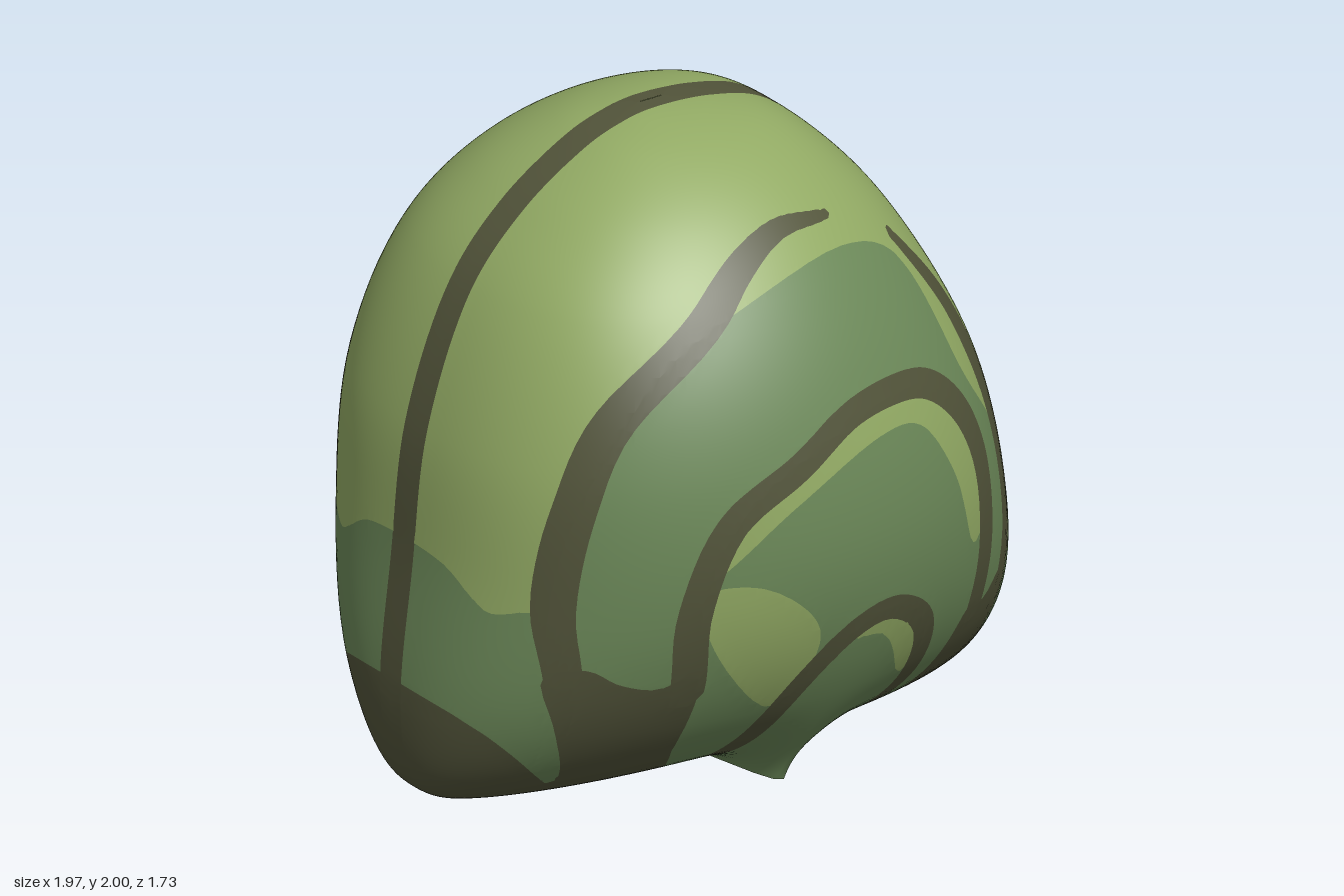
import * as THREE from 'three';
import { mergeVertices } from 'three/addons/utils/BufferGeometryUtils.js';

const COLS = 90, ROWS = 90;
const LIGHT = 0, MID = 1, BROWN = 2;

// Smooth curve through x, y pairs
function trace(flat, closed) {
  const pts = [];
  for (let i = 0; i < flat.length; i += 2) pts.push(new THREE.Vector3(flat[i], flat[i + 1], 0));
  return new THREE.CatmullRomCurve3(pts, closed).getPoints(pts.length * 5);
}

// Distance from p to the segment a-b, seen from the front
function toSegment(p, a, b) {
  const dx = b.x - a.x, dy = b.y - a.y;
  const t = ((p.x - a.x) * dx + (p.y - a.y) * dy) / (dx * dx + dy * dy || 1);
  const k = THREE.MathUtils.clamp(t, 0, 1);
  return Math.hypot(p.x - a.x - dx * k, p.y - a.y - dy * k);
}

// Filled patch: signed distance, positive inside
function patch(...flat) {
  const c = trace(flat, true);
  return p => {
    let best = Infinity, inside = false;
    for (let i = 1; i < c.length; i++) {
      const a = c[i - 1], b = c[i];
      best = Math.min(best, toSegment(p, a, b));
      if ((a.y > p.y) !== (b.y > p.y) && p.x < a.x + (p.y - a.y) / (b.y - a.y) * (b.x - a.x)) inside = !inside;
    }
    return inside ? best : -best;
  };
}

// Band along a curve, its half width growing from the tip
function band(tipWidth, width, ...flat) {
  const c = trace(flat, false);
  return p => {
    let best = -Infinity;
    for (let i = 1; i < c.length; i++) {
      const w = THREE.MathUtils.lerp(tipWidth, width, Math.min(1, 2.5 * i / c.length));
      best = Math.max(best, w - toSegment(p, c[i - 1], c[i]));
    }
    return best;
  };
}

// Silhouette: left edge, height, right edge
const outline = new THREE.CatmullRomCurve3([
  [-0.72, 0.02, 0.72], [-0.87, 0.055, 0.865], [-0.945, 0.13, 0.94], [-0.985, 0.37, 0.98], [-0.945, 0.8, 0.91],
  [-0.895, 1.2, 0.8], [-0.74, 1.6, 0.59], [-0.56, 1.8, 0.43], [-0.34, 1.94, 0.25], [-0.21, 1.985, 0.09],
  [-0.13, 2, -0.04],
].map(p => new THREE.Vector3(...p)));

// Point on the front half; u runs left to right (0..1), v runs bottom to top (0..1)
function surface(u, v) {
  const e = outline.getPoint(v), a = u * Math.PI;
  const x = (e.x + e.z) / 2 - (e.z - e.x) / 2 * Math.cos(a);
  const k = (e.y - 0.95) / (e.y > 0.95 ? 1.05 : 0.93);
  const round = Math.max(0, Math.sin(a)) ** 0.78;
  const body = 0.865 * round * Math.sqrt(Math.max(0, 1 - k * k));
  // narrow stem under the middle, spreading into the body
  const stem = Math.exp(-(((x - 0.07) / (0.1 + 0.6 * (e.y - 0.02))) ** 2)) * Math.exp((0.02 - e.y) / 0.3);
  const drop = 0.02 * stem * Math.exp((0.02 - e.y) / 0.05);
  return new THREE.Vector3(x, e.y - drop, Math.hypot(body, 0.43 * stem * round));
}

// Painted regions, later ones cover earlier ones
const dome = patch(-0.8, 0.5, -0.75, 1.08, -0.5, 1.48, -0.2, 1.635, 0.17, 1.69, 0.38, 1.6,
  0.54, 1.23, 0.74, 0.9, 0.77, 0.4, 0.4, -0.1, -0.6, -0.1);
const leftFlank = patch(-1.1, 1.12, -0.94, 0.87, -0.9, 0.75, -0.83, 0.78, -0.75, 0.2, -1.1, 0.1);
const rightFlank = patch(0.69, 1.47, 0.778, 1.24, 0.82, 0.88, 0.79, 0.72, 0.73, 0.2, 1.1, 0.1, 1.1, 1.2);
const middleHighlight = patch(-0.44, 0.88, -0.2, 1.06, 0.11, 1.2, 0.28, 1.19, 0.42, 1, 0.53, 0.72,
  0.59, 0.8, 0.5, 1.13, 0.3, 1.29, 0.05, 1.27, -0.3, 1.11);
const sideLeaf = patch(-0.45, 0.84, -0.28, 0.84, -0.07, 0.64, -0.14, 0.38, -0.39, 0.63);
const innerHighlight = patch(-0.1, 0.4, 0.03, 0.56, 0.17, 0.56, 0.33, 0.34, 0.37, 0.42, 0.28, 0.62, 0.07, 0.62);
const outerLeftBand = band(0.01, 0.042, 0.17, 1.765, -0.02, 1.777, -0.18, 1.72, -0.33, 1.61, -0.63, 1.36,
  -0.75, 1.09, -0.795, 0.78, -0.77, 0.58);
const outerRightBand = band(0.01, 0.04, 0.4, 1.64, 0.58, 1.38, 0.69, 1.1, 0.765, 0.7, 0.76, 0.45);
const middleArch = band(0.05, 0.04, -0.45, 0.5, -0.47, 0.78, -0.37, 1.05, -0.15, 1.19, 0.03, 1.29,
  0.2, 1.31, 0.34, 1.28, 0.47, 1.17, 0.56, 1, 0.6, 0.73, 0.6, 0.45);
const innerArch = band(0.04, 0.04, -0.14, 0, -0.15, 0.2, -0.09, 0.45, 0.04, 0.61, 0.18, 0.65,
  0.33, 0.55, 0.385, 0.35, 0.36, 0.15, 0.29, 0);
const leftFoot = patch(-1.1, 0.5, -0.95, 0.41, -0.67, 0.15, -0.76, 0.39, -0.81, 0.58, -0.72, 0.61, -0.64, 0.56,
  -0.53, 0.535, -0.44, 0.58, -0.39, 0.25, -0.22, -0.05, -1.1, -0.05);
const rightFoot = patch(0.42, -0.05, 0.5, 0.25, 0.57, 0.49, 0.65, 0.47, 0.73, 0.53, 0.795, 0.45, 0.76, 0.27,
  0.94, 0.41, 1.1, 0.56, 1.1, -0.05);
const rimSeam = p => 0.05 - p.z;

const layers = [
  ...[dome, leftFlank, rightFlank].map(d => [MID, d]),
  ...[middleHighlight, sideLeaf, innerHighlight].map(d => [LIGHT, d]),
  ...[outerLeftBand, outerRightBand, middleArch, innerArch, leftFoot, rightFoot, rimSeam].map(d => [BROWN, d]),
];

// Part of a polygon where sign * distance is positive
function clip(poly, d, sign) {
  const out = [];
  poly.forEach((a, i) => {
    const j = (i + 1) % poly.length, b = poly[j];
    if (d[i] * sign >= 0) out.push(a);
    if (d[i] * d[j] < 0) {
      const t = d[i] / (d[i] - d[j]);
      const u = a.u + (b.u - a.u) * t, v = a.v + (b.v - a.v) * t;
      out.push({ u, v, p: surface(u, v) });
    }
  });
  return out;
}

function bodyGeometry() {
  // Front half as a grid of triangles
  const node = [];
  for (let j = 0; j <= ROWS; j++) for (let i = 0; i <= COLS; i++) {
    const u = i / COLS, v = j / ROWS;
    node.push({ u, v, p: surface(u, v) });
  }
  let tris = [];
  for (let j = 0; j < ROWS; j++) for (let i = 0; i < COLS; i++) {
    const a = j * (COLS + 1) + i, b = a + COLS + 1;
    tris.push({ c: LIGHT, q: [node[a], node[a + 1], node[b + 1]] });
    tris.push({ c: LIGHT, q: [node[a], node[b + 1], node[b]] });
  }
  // Cut the triangles along the border of each painted region
  for (const [colour, dist] of layers) {
    const next = [];
    for (const tri of tris) {
      const d = tri.q.map(n => dist(n.p));
      for (const sign of [1, -1]) {
        if (!d.some(k => k * sign > 0)) continue;
        const poly = clip(tri.q, d, sign);
        for (let k = 2; k < poly.length; k++)
          next.push({ c: sign > 0 ? colour : tri.c, q: [poly[0], poly[k - 1], poly[k]] });
      }
    }
    tris = next;
  }
  // Mirror to the back, one group per colour
  const pos = [], g = new THREE.BufferGeometry();
  for (const c of [LIGHT, MID, BROWN]) {
    const start = pos.length / 3;
    for (const { q } of tris.filter(t => t.c === c)) {
      for (const n of q) pos.push(n.p.x, n.p.y, n.p.z);
      for (const n of [q[0], q[2], q[1]]) pos.push(n.p.x, n.p.y, -n.p.z);
    }
    g.addGroup(start, pos.length / 3 - start, c);
  }
  g.setAttribute('position', new THREE.Float32BufferAttribute(pos, 3));
  const merged = mergeVertices(g, 1e-5);
  merged.computeVertexNormals();
  return merged;
}

export function createModel() {
  // Double-sided, as the stem is open underneath
  const material = (name, color) =>
    Object.assign(new THREE.MeshStandardMaterial({ color, side: THREE.DoubleSide }), { name });
  const mats = [material('light green', 0x92aa64), material('mid green', 0x6c8959), material('dark olive', 0x52543a)];
  const model = new THREE.Group();
  model.name = 'bush';
  const body = new THREE.Mesh(bodyGeometry(), mats);
  body.name = 'foliage';
  model.add(body);
  return model;
}
